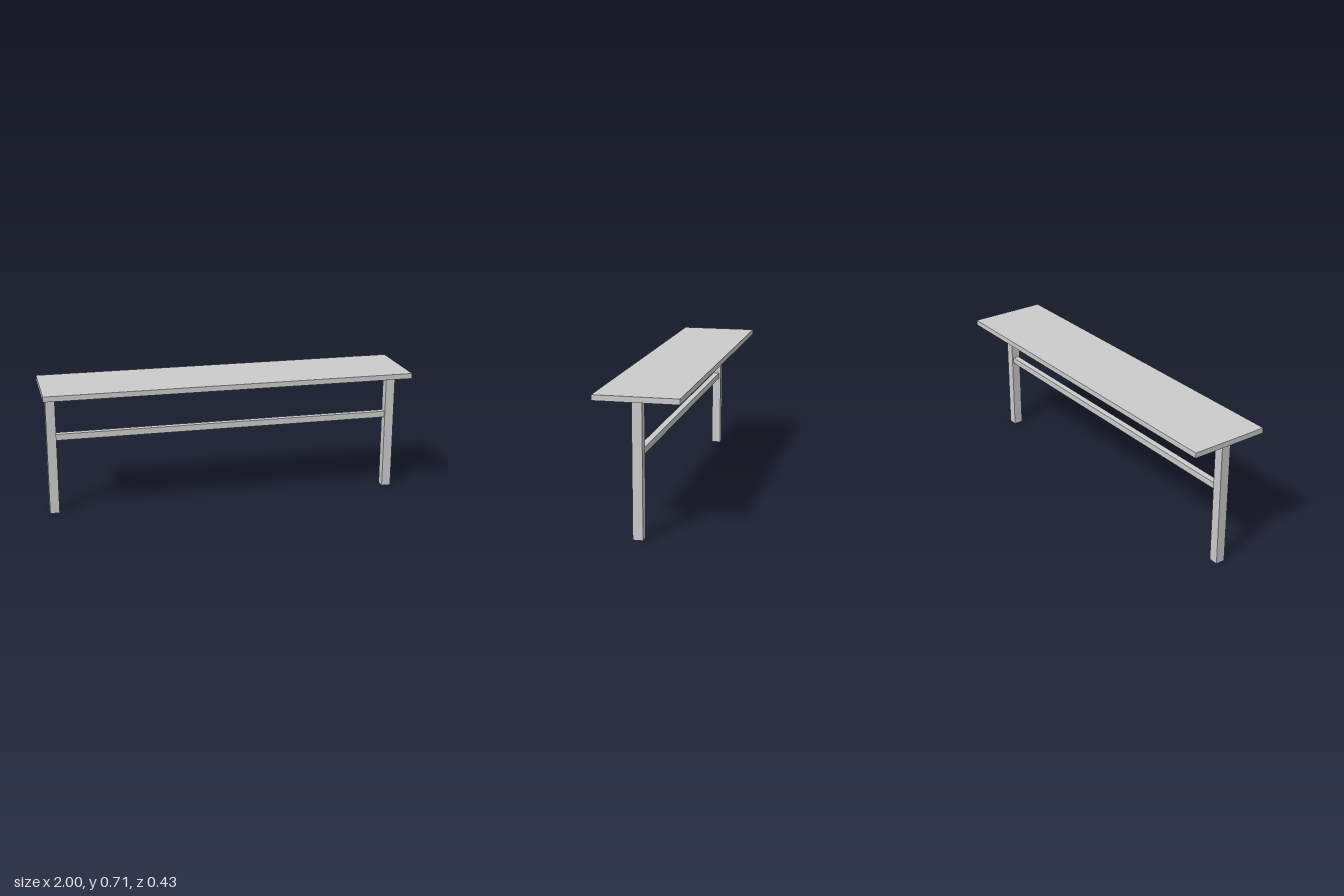
import * as THREE from 'three';

export function createModel() {
  const bench = new THREE.Group();
  bench.name = 'bench';
  const material = new THREE.MeshStandardMaterial({ color: 0xcccccc });

  // Box standing on the given base height
  const addBox = (name, width, height, depth, x, baseY) => {
    const mesh = new THREE.Mesh(new THREE.BoxGeometry(width, height, depth), material);
    mesh.name = name;
    mesh.position.set(x, baseY + height / 2, 0);
    bench.add(mesh);
  };

  const legHeight = 0.686;
  const legSize = 0.051;
  const legX = 0.951;
  const railSize = 0.034;

  // Flat seat board
  addBox('seat', 2, 0.0286, 0.4286, 0, legHeight);

  // One central post at each end
  addBox('leftLeg', legSize, legHeight, legSize, legX, 0);
  addBox('rightLeg', legSize, legHeight, legSize, -legX, 0);

  // Rail joining the inner faces of the legs
  addBox('stretcher', 2 * legX - legSize, railSize, railSize, 0, 0.4115);

  return bench;
}
